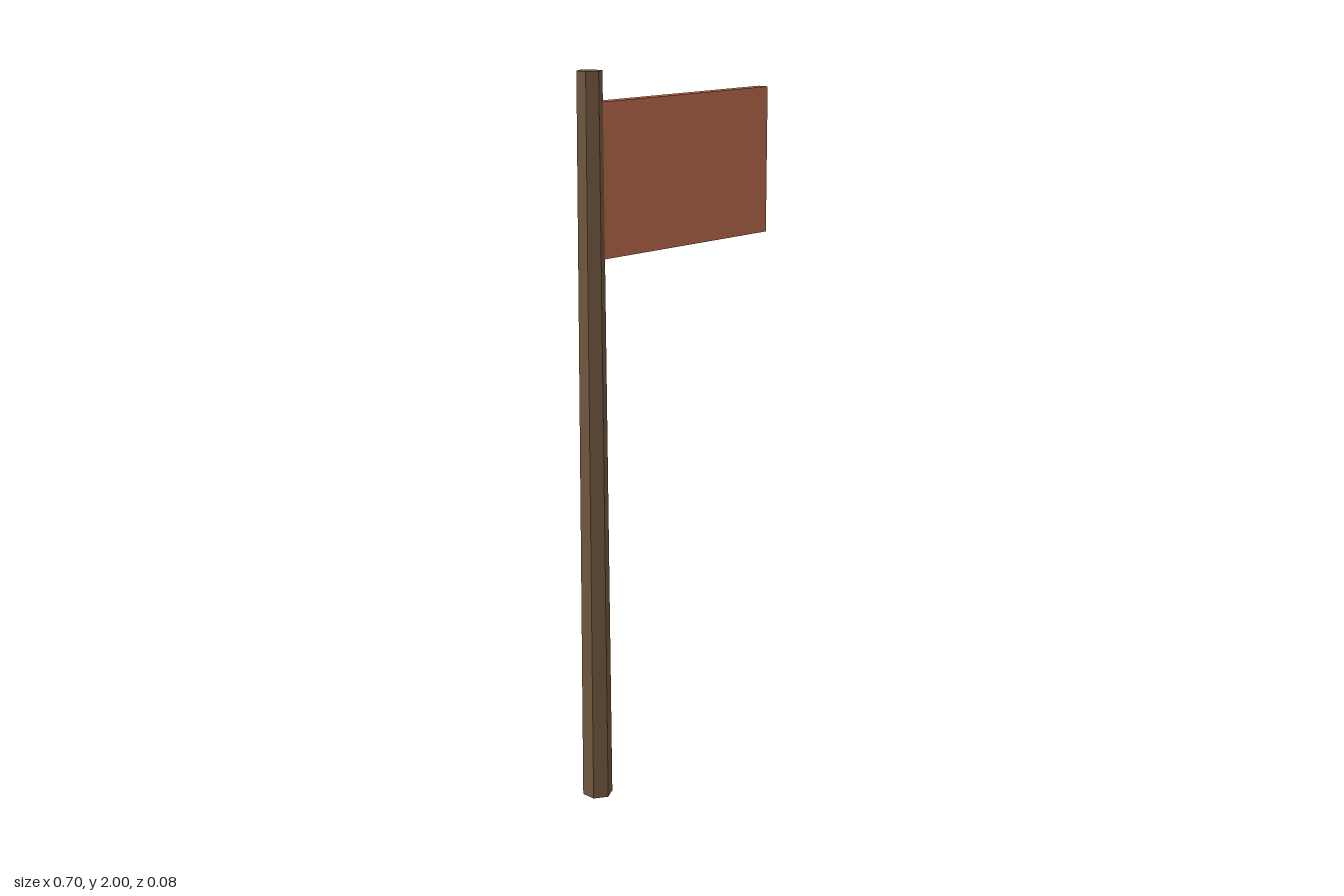
import * as THREE from 'three';

export function createModel() {
  const group = new THREE.Group();
  const wood = new THREE.MeshStandardMaterial({ color: 0x6e563d, name: 'brown wood', flatShading: true });
  const cloth = new THREE.MeshStandardMaterial({ color: 0xba6b4a, name: 'terracotta', flatShading: true });

  // Tapered six-sided pole, corners facing front and back
  const pole = new THREE.Mesh(new THREE.CylinderGeometry(0.034, 0.042, 2, 6), wood);
  pole.name = 'pole';
  pole.position.set(-0.315, 1, 0);

  // Flat banner, its inner edge sunk into the pole
  const left = -0.315, right = 0.351, bottom = 1.513, top = 1.92;
  const banner = new THREE.Mesh(new THREE.BoxGeometry(right - left, top - bottom, 0.033), cloth);
  banner.name = 'banner';
  banner.position.set((left + right) / 2, (bottom + top) / 2, 0);

  group.add(pole, banner);
  return group;
}
